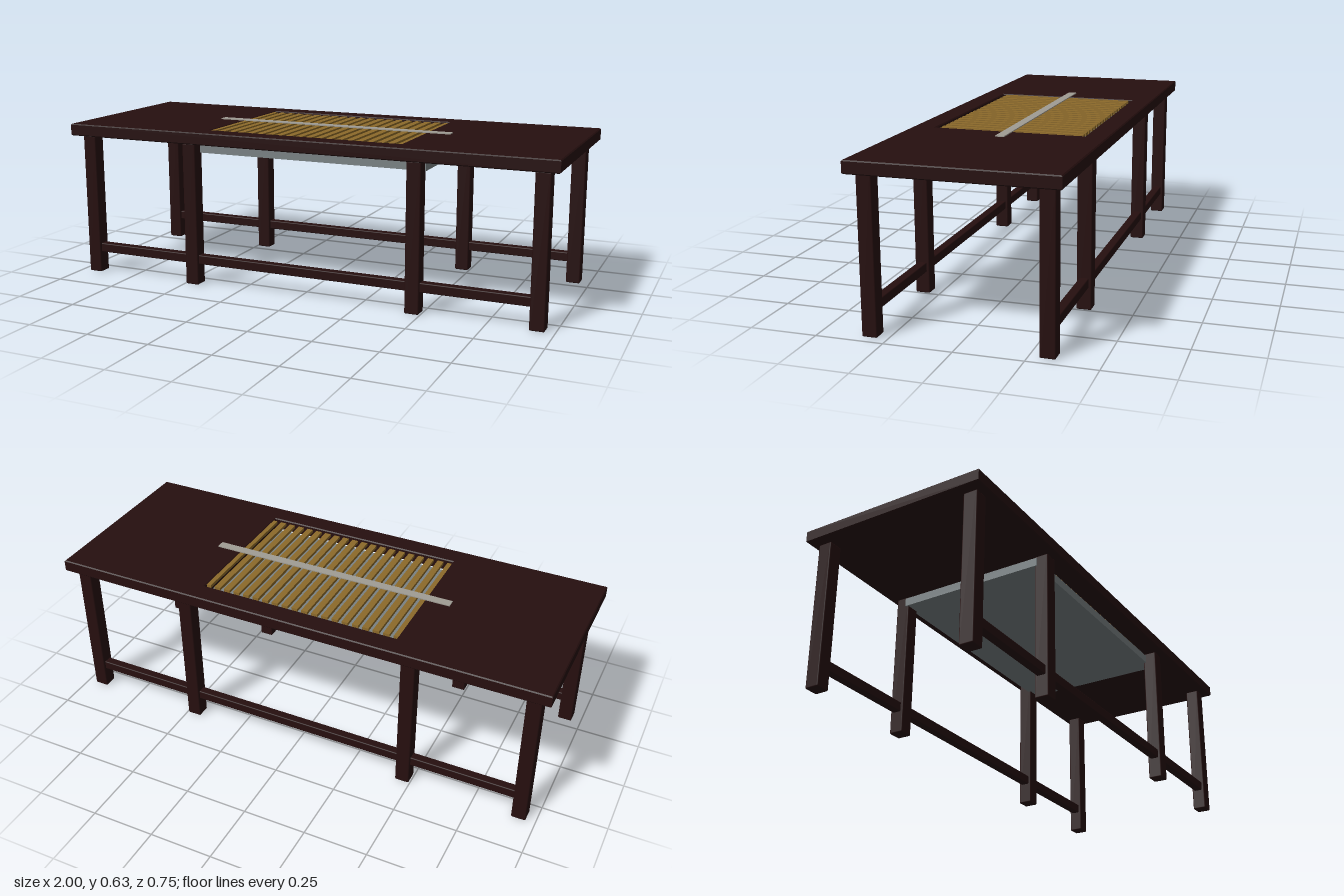
import * as THREE from 'three';
import { RoundedBoxGeometry } from 'three/addons/geometries/RoundedBoxGeometry.js';

export function createModel() {
  const group = new THREE.Group();
  const mat = (name, color) => {
    const m = new THREE.MeshStandardMaterial({ color });
    m.name = name;
    return m;
  };
  const wood = mat('dark wood', 0x260f0f);
  const steel = mat('tray grey', 0x7a8284);
  const brass = mat('slat gold', 0x8c6a2a);
  const silver = mat('bar grey', 0xa09c94);

  const add = (name, geometry, material, x, y, z) => {
    const mesh = new THREE.Mesh(geometry, material);
    mesh.name = name;
    mesh.position.set(x, y, z);
    group.add(mesh);
    return mesh;
  };

  // Table top with a rectangular opening and a small bevel
  const rect = (path, w, d) => {
    path.moveTo(-w, -d);
    path.lineTo(w, -d);
    path.lineTo(w, d);
    path.lineTo(-w, d);
    path.closePath();
    return path;
  };
  const bevel = 0.004;
  const outline = rect(new THREE.Shape(), 1 - bevel, 0.374 - bevel);
  outline.holes.push(rect(new THREE.Path(), 0.4 + bevel, 0.289 + bevel));
  const top = new THREE.ExtrudeGeometry(outline, {
    depth: 0.048 - 2 * bevel, bevelThickness: bevel, bevelSize: bevel, bevelSegments: 1,
  });
  top.rotateX(-Math.PI / 2);
  add('tableTop', top, wood, 0, 0.577 + bevel, 0);

  // Four legs and one long stretcher on each side
  const leg = new RoundedBoxGeometry(0.056, 0.575, 0.056, 2, 0.005);
  const stretcher = new RoundedBoxGeometry(1.87, 0.037, 0.035, 2, 0.004);
  for (const z of [-0.316, 0.316]) {
    for (const x of [-0.935, -0.467, 0.467, 0.935]) add('leg', leg, wood, x, 0.2875, z);
    add('stretcher', stretcher, wood, 0, 0.103, z);
  }

  // Tray hung under the opening
  add('tray', new THREE.BoxGeometry(1, 0.033, 0.6), steel, 0, 0.5505, 0);

  // Row of slats across the opening
  const slat = new THREE.BoxGeometry(0.025, 0.012, 0.55);
  const count = 20;
  for (let i = 0; i < count; i++) {
    add('slat', slat, brass, -0.395 + (0.79 * i) / (count - 1), 0.616, 0);
  }

  // Thin bar lying along the middle
  add('centreBar', new THREE.BoxGeometry(1, 0.004, 0.034), silver, 0, 0.627, 0);

  return group;
}
